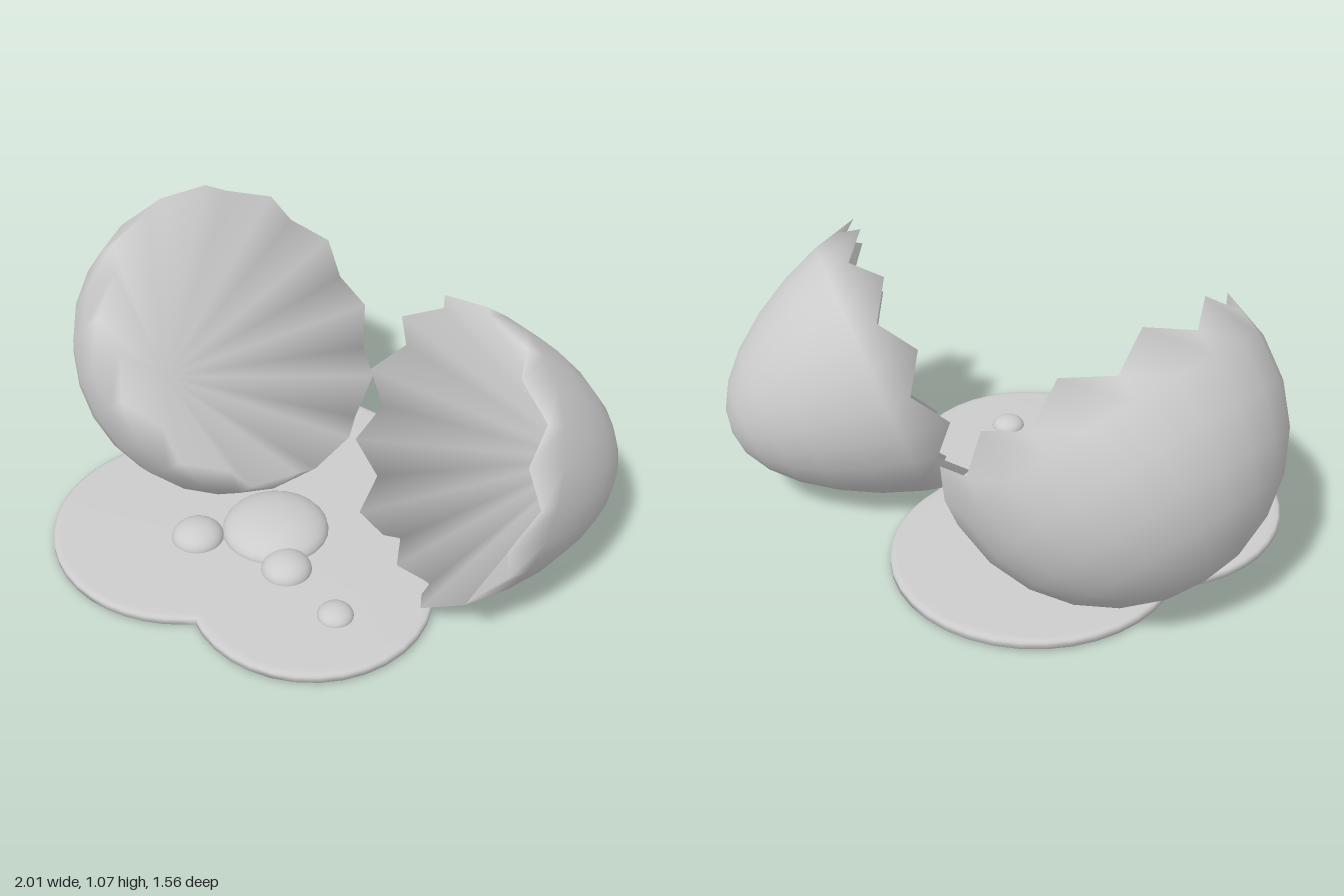
import * as THREE from 'three';
import { toCreasedNormals } from 'three/addons/utils/BufferGeometryUtils.js';

const SEGMENTS = 24;
const RINGS = 7;
const shellGrey = new THREE.MeshStandardMaterial({ color: 0xcccccc });
shellGrey.name = 'pale grey';

// Smooth normals weighted by the angle of each face corner
function angleWeightedNormals(positions, index) {
  const points = [], sums = [];
  for (let i = 0; i < positions.length; i += 3) {
    points.push(new THREE.Vector3().fromArray(positions, i));
    sums.push(new THREE.Vector3());
  }
  for (let f = 0; f < index.length; f += 3) {
    for (let c = 0; c < 3; c++) {
      const corner = index[f + c];
      const e1 = points[index[f + (c + 1) % 3]].clone().sub(points[corner]);
      const e2 = points[index[f + (c + 2) % 3]].clone().sub(points[corner]);
      const angle = e1.angleTo(e2);
      sums[corner].addScaledVector(e1.cross(e2).normalize(), angle);
    }
  }
  return sums.flatMap(n => n.normalize().toArray());
}

// A cracked shell half: a fan of ridges rises from the bottom of the hollow to the jagged
// rim, then rings run down the outside. t is the distance below the rim tips.
function shellGeometry(radiusAt, depth, tipAtTop) {
  const positions = [0, -(depth - 0.065), 0, 0, -depth, 0];
  const index = [];
  for (let j = 0; j < RINGS; j++) {
    for (let i = 0; i < SEGMENTS; i++) {
      const a = (i / SEGMENTS) * Math.PI * 2;
      const isTip = (i % 2 === 0) === tipAtTop;
      const rim = isTip ? 0 : 0.085;
      const t = j === 0 ? rim : depth * Math.sin(THREE.MathUtils.lerp(0.24, Math.PI / 2, (j - 1) / (RINGS - 1)));
      const r = radiusAt(t);
      positions.push(r * Math.sin(a), -t, -r * Math.cos(a));
    }
  }
  for (let i = 0; i < SEGMENTS; i++) {
    const k = (i + 1) % SEGMENTS;
    index.push(0, 2 + k, 2 + i);
    for (let j = 0; j < RINGS - 1; j++) {
      const a = 2 + j * SEGMENTS + i, b = 2 + j * SEGMENTS + k;
      index.push(a, b, a + SEGMENTS, b, b + SEGMENTS, a + SEGMENTS);
    }
    const last = 2 + (RINGS - 1) * SEGMENTS;
    index.push(last + i, last + k, 1);
  }
  const geometry = new THREE.BufferGeometry();
  geometry.setAttribute('position', new THREE.Float32BufferAttribute(positions, 3));
  geometry.setAttribute('normal', new THREE.Float32BufferAttribute(angleWeightedNormals(positions, index), 3));
  geometry.setIndex(index);
  return geometry;
}

// Place a shell half by its rim centre and the sideways and upward directions in the rim plane
function shellHalf(name, radiusAt, depth, tipAtTop, centre, side, up) {
  const h = new THREE.Vector3(...side).normalize();
  const u = new THREE.Vector3(...up);
  u.addScaledVector(h, -u.dot(h)).normalize();
  const n = h.clone().cross(u);
  const matrix = new THREE.Matrix4().makeBasis(h, n, u.clone().negate()).setPosition(...centre);
  const mesh = new THREE.Mesh(shellGeometry(radiusAt, depth, tipAtTop).applyMatrix4(matrix), shellGrey);
  mesh.name = name;
  return mesh;
}

// Puddle outline: the union of three circles, traced from a point inside all of them
function puddle() {
  const lobes = [[-0.27, 0.28, 0.5], [0.28, 0.23, 0.425], [-0.2, -0.205, 0.5]];
  const ox = -0.05, oz = 0.1, count = 64;
  const bevel = 0.025, bevelHeight = 0.006;
  const points = [];
  for (let i = 0; i < count; i++) {
    const a = (i / count) * Math.PI * 2;
    const dx = Math.cos(a), dz = Math.sin(a);
    let reach = 0;
    for (const [x, z, r] of lobes) {
      const px = x - ox, pz = z - oz;
      const along = px * dx + pz * dz;
      const radius = r - bevel;
      reach = Math.max(reach, along + Math.sqrt(radius * radius - (px * px + pz * pz - along * along)));
    }
    points.push(new THREE.Vector2(ox + dx * reach, -(oz + dz * reach)));
  }
  const geometry = new THREE.ExtrudeGeometry(new THREE.Shape(points), {
    depth: 0.023, bevelEnabled: true, bevelSize: bevel, bevelThickness: bevelHeight, bevelSegments: 2,
  });
  geometry.rotateX(-Math.PI / 2).translate(0, bevelHeight, 0);
  const mesh = new THREE.Mesh(toCreasedNormals(geometry, 1.2), shellGrey);
  mesh.name = 'puddle';
  return mesh;
}

export function createModel() {
  const model = new THREE.Group();
  model.name = 'crackedEgg';

  // Round half, leaning back with its opening up and to the left
  const roundRadius = t => Math.sqrt(Math.max(0, 0.57 ** 2 - (t - 0.157) ** 2));
  model.add(shellHalf('roundShellHalf', roundRadius, 0.727, false,
    [-0.314, 0.677, -0.105], [0, 0, -1], [-0.67, 0.74, 0]));

  // Pointed half, opening to the front
  const pointedRadius = t => {
    const s = Math.min(1, t / 0.71);
    return 0.525 * Math.sqrt(1 - s * s) * (1 - 0.22 * s);
  };
  model.add(shellHalf('pointedShellHalf', pointedRadius, 0.71, true,
    [0.49, 0.513, -0.14], [0.89, 0, 0.455], [0.077, 0.948, -0.306]));

  model.add(puddle());

  // Flattened bubbles on the puddle: x, z, radius, height
  const bubbles = [
    [-0.01, 0.1, 0.195, 0.078],
    [0.165, 0.23, 0.09, 0.057],
    [0.44, 0.285, 0.063, 0.038],
    [-0.19, 0.32, 0.095, 0.057],
  ];
  for (const [x, z, r, height] of bubbles) {
    const dome = new THREE.SphereGeometry(1, 24, 8, 0, Math.PI * 2, 0, Math.PI / 2);
    const mesh = new THREE.Mesh(dome, shellGrey);
    mesh.name = 'bubble';
    mesh.scale.set(r, height, r);
    mesh.position.set(x, 0.034, z);
    model.add(mesh);
  }
  return model;
}
